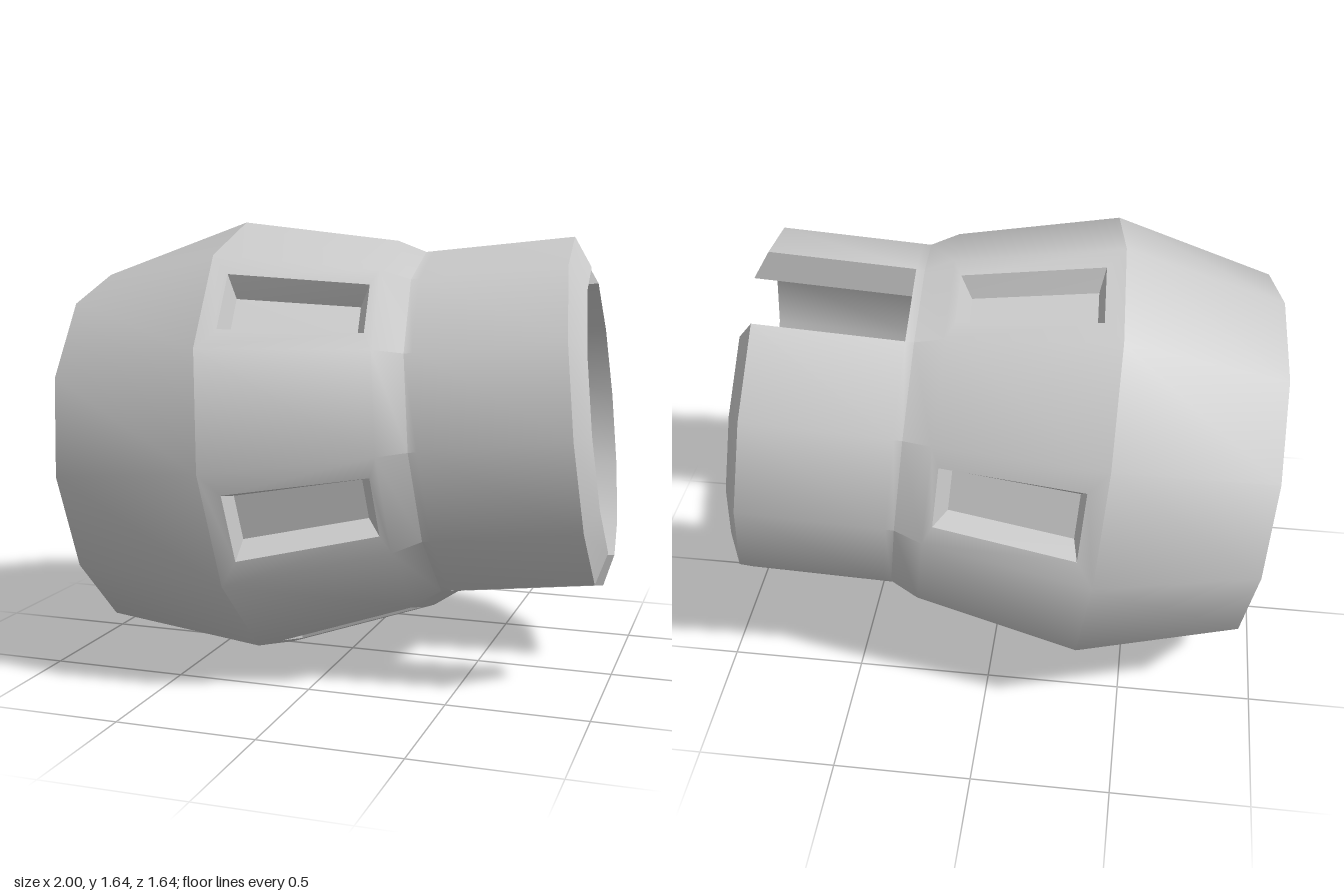
import * as THREE from 'three';
import { toCreasedNormals } from 'three/addons/utils/BufferGeometryUtils.js';

const SIDES = 12;
const SLOTS = [5, 11];
const material = new THREE.MeshStandardMaterial({ color: 0xcccccc });

// Point at axial distance t, radius r, corner k (k = 0 is up, increasing toward the front)
function ringPoint([t, r], k) {
  const a = (k % SIDES) / SIDES * Math.PI * 2;
  return new THREE.Vector3(t, r * Math.cos(a), r * Math.sin(a));
}

// Quad on side k between two profile points
const facet = (p, q, k) => [ringPoint(p, k), ringPoint(p, k + 1), ringPoint(q, k + 1), ringPoint(q, k)];

function makeMesh(name, quads) {
  const pos = [];
  for (const [a, b, c, d] of quads) {
    for (const tri of [[a, b, c], [a, c, d]]) {
      const area = tri[1].clone().sub(tri[0]).cross(tri[2].clone().sub(tri[0])).length();
      if (area > 1e-8) tri.forEach((v) => pos.push(v.x, v.y, v.z));
    }
  }
  const geo = new THREE.BufferGeometry();
  geo.setAttribute('position', new THREE.Float32BufferAttribute(pos, 3));
  const mesh = new THREE.Mesh(toCreasedNormals(geo, 0.6), material);
  mesh.name = name;
  return mesh;
}

// Sweep a profile around the axis, leaving out the given sides
function sweep(profile, skip = []) {
  const quads = [];
  for (let i = 0; i < profile.length - 1; i++) {
    for (let k = 0; k < SIDES; k++) {
      if (!skip.includes(k)) quads.push(facet(profile[i], profile[i + 1], k));
    }
  }
  return quads;
}

// Panel with a recessed pocket: rim, sloping walls and floor
function pocketPanel(corners, depth) {
  const [A, B, C, D] = corners;
  const at = (u, v) => A.clone().lerp(B, u).lerp(D.clone().lerp(C, u), v);
  const rect = (u, v0, v1) => [at(u, v0), at(1 - u, v0), at(1 - u, v1), at(u, v1)];
  const normal = B.clone().sub(A).cross(D.clone().sub(A)).normalize();
  const hole = rect(0.2, 0.11, 0.95);
  const floor = rect(0.3, 0.16, 0.9).map((p) => p.addScaledVector(normal, -depth));
  const rim = [], recess = [floor];
  for (let i = 0; i < 4; i++) {
    const j = (i + 1) % 4;
    rim.push([corners[i], corners[j], hole[j], hole[i]]);
    recess.push([hole[i], hole[j], floor[j], floor[i]]);
  }
  return { rim, recess };
}

export function createModel() {
  const group = new THREE.Group();
  group.name = 'slottedBarrel';

  // Profile points as [axial distance, radius]
  const wide = [0, 0.823], bandEnd = [0.58, 0.695], neckStart = [0.68, 0.644];
  const slotOuter = [0.71, 0.644], slotInner = [0.71, 0.53];
  const lipOuter = [1.225, 0.644], lipInner = [1.275, 0.53];

  // Closed rear cone
  group.add(makeMesh('rearCone', sweep([[-0.58, 0], [-0.58, 0.68], wide])));

  // Middle band with a pocket on every other side, blending into the neck
  const shell = sweep([bandEnd, neckStart, slotOuter]);
  const recesses = [];
  for (let k = 0; k < SIDES; k++) {
    const panel = facet(wide, bandEnd, k);
    if (k % 2) {
      const { rim, recess } = pocketPanel(panel, 0.08);
      shell.push(...rim);
      recesses.push(...recess);
    } else shell.push(panel);
  }

  // Neck, chamfered lip and bore, open at the two slots
  shell.push(...sweep([slotOuter, lipOuter, lipInner, slotInner], SLOTS));
  group.add(makeMesh('bandAndNeck', shell));
  group.add(makeMesh('pockets', recesses));
  group.add(makeMesh('boreFloor', sweep([slotInner, [0.71, 0]])));

  // End and side walls of the slots
  const walls = [];
  for (const k of SLOTS) {
    const side = (n) => [slotOuter, lipOuter, lipInner, slotInner].map((p) => ringPoint(p, n));
    walls.push(facet(slotOuter, slotInner, k), side(k).reverse(), side(k + 1));
  }
  group.add(makeMesh('slotWalls', walls));

  // Tilt the barrel axis
  const x = new THREE.Vector3(1, 0.107, -0.074).normalize();
  const z = x.clone().cross(new THREE.Vector3(0, 1, 0)).normalize();
  const y = z.clone().cross(x);
  group.quaternion.setFromRotationMatrix(new THREE.Matrix4().makeBasis(x, y, z));
  group.position.set(-0.335, 0.825, 0);

  const model = new THREE.Group();
  model.name = 'model';
  model.add(group);
  return model;
}
